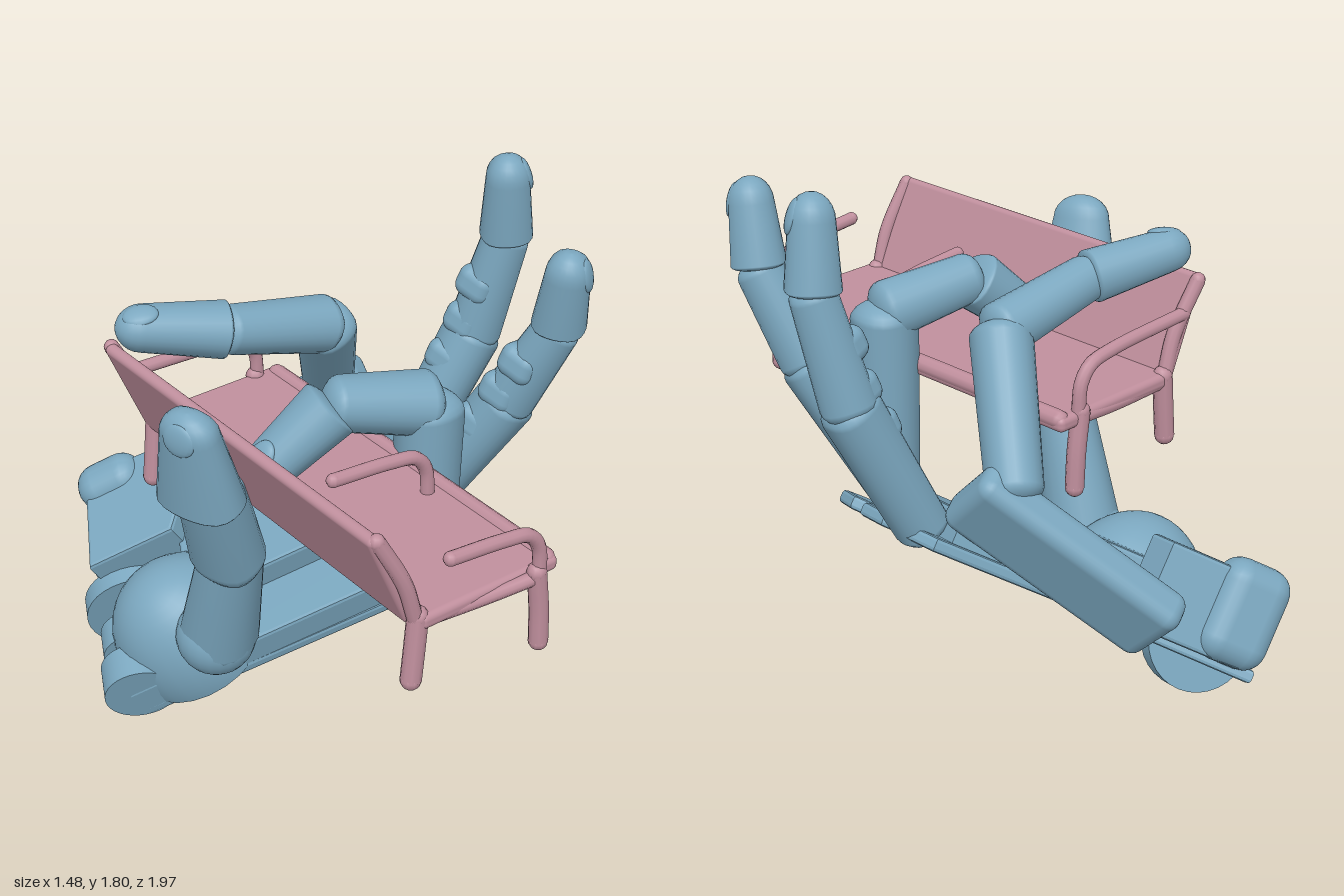
import * as THREE from 'three';
import { RoundedBoxGeometry } from 'three/addons/geometries/RoundedBoxGeometry.js';

const V = (x, y, z) => new THREE.Vector3(x, y, z);

export function createModel() {
  const model = new THREE.Group();
  const blue = new THREE.MeshStandardMaterial({ color: 0x7ba7bf });
  const pink = new THREE.MeshStandardMaterial({ color: 0xc08f9d });

  const add = (parent, name, geometry, material, pos = [0, 0, 0], rot = [0, 0, 0]) => {
    const m = new THREE.Mesh(geometry, material);
    m.name = name;
    m.position.set(...pos);
    m.rotation.set(...rot);
    parent.add(m);
    return m;
  };
  const rbox = (w, h, d, r) => new RoundedBoxGeometry(w, h, d, 3, r);

  // ---------- Palm, built in its own frame: x to fingers, y out of the palm, z to thumb side ----------
  const palm = new THREE.Group();
  palm.name = 'palm';
  const f = V(0.705, 0.480, 0.522).normalize();
  const n = V(-0.563, 0.826, 0).normalize();
  palm.applyMatrix4(new THREE.Matrix4().makeBasis(f, n, f.clone().cross(n).normalize()));
  palm.position.set(-0.563, 0.009, -0.27);
  model.add(palm);

  const plate = (pts, depth) => new THREE.ExtrudeGeometry(
    new THREE.Shape(pts.map((p) => new THREE.Vector2(...p))),
    { depth, bevelEnabled: true, bevelSize: 0.012, bevelThickness: 0.012, bevelSegments: 2 },
  ).rotateX(-Math.PI / 2);

  // Thin back plate, notched between the knuckles
  add(palm, 'backPlate', plate([
    [0, 0.01], [1.12, 0], [1.19, 0.04], [1.19, 0.17], [1.15, 0.2], [1.05, 0.21], [1.05, 0.24], [1.17, 0.25],
    [1.19, 0.3], [1.16, 0.43], [1.03, 0.45], [1.03, 0.48], [1.12, 0.49], [1.13, 0.55], [1.06, 0.67],
    [0.5, 0.6], [0.36, 0.68], [0, 0.78],
  ], 0.02), blue, [0, 0.012, 0]);

  // Body of the palm on top of the plate
  add(palm, 'palmBody', plate([
    [0, 0.01], [1.0, 0.01], [1.03, 0.15], [1.03, 0.4], [1.0, 0.64], [0.5, 0.59], [0.36, 0.67], [0, 0.74],
  ], 0.1), blue, [0, 0.03, 0]);

  // Raised palm pad and the block on the little finger side of the wrist
  add(palm, 'palmPad', plate([[0.3, 0.2], [0.76, 0.2], [0.84, 0.32], [0.8, 0.54], [0.5, 0.58], [0.3, 0.6]], 0.08),
    blue, [0, 0.14, 0]);
  add(palm, 'wristBlock', plate([[0, 0.44], [0.3, 0.44], [0.42, 0.68], [0.4, 0.78], [0.06, 0.8], [0.02, 0.7]], 0.26),
    blue, [0, 0.04, 0]);

  // Domed cover at the root of the thumb
  const cover = add(palm, 'thumbRootCover', new THREE.SphereGeometry(1, 28, 12, 0, Math.PI * 2, 0, Math.PI / 2),
    blue, [0.22, 0.03, -0.2]);
  cover.scale.set(0.27, 0.34, 0.25);

  // Round hinge lobes along the wrist: [forward, sideways, radius, height, length]
  [[0.02, 0.06, 0.12, 0.12, 0.12], [0.02, 0.22, 0.11, 0.11, 0.1], [0.03, 0.405, 0.18, 0.06, 0.07],
    [0.03, 0.58, 0.11, 0.11, 0.1]].forEach(([a, s, r, h, len], i) => {
    add(palm, `wristLobe${i + 1}`, new THREE.CylinderGeometry(r, r, len, 32), blue, [a, h, -s], [Math.PI / 2, 0, 0]);
  });
  add(palm, 'outerWristLobe', rbox(0.24, 0.33, 0.16, 0.075), blue, [0.1, 0.19, -0.77]);

  // Folded panel carrying the little finger
  add(palm, 'littleFingerPanel', rbox(0.74, 0.13, 0.28, 0.045), blue, [0.7, 0.13, -0.765], [0.6, 0, 0.26]);

  // ---------- Fingers: squared, round-ended lathe segments ----------
  const segmentGeometry = (L, r0, r1, k0, k1) => {
    const pts = [];
    for (let i = 0; i <= 6; i++) {
      const t = (i / 6) * Math.PI / 2;
      pts.push(new THREE.Vector2(r0 * Math.sin(t), k0 * r0 * (1 - Math.cos(t))));
    }
    for (let i = 0; i <= 6; i++) {
      const t = (i / 6) * Math.PI / 2;
      pts.push(new THREE.Vector2(r1 * Math.cos(t), L - k1 * r1 * (1 - Math.sin(t))));
    }
    const g = new THREE.LatheGeometry(pts, 24);
    const p = g.attributes.position;
    for (let i = 0; i < p.count; i++) {
      const x = p.getX(i), z = p.getZ(i), r = Math.hypot(x, z);
      if (r < 1e-6) continue;
      const k = ((x / r) ** 4 + (z / r) ** 4) ** -0.12;
      p.setX(i, x * k);
      p.setZ(i, z * k);
    }
    return g;
  };

  const segment = (parent, name, a, b, r0, r1, dorsal, { k0 = 0.6, k1 = 0.6, wide = 1, nail = false } = {}) => {
    const dir = b.clone().sub(a);
    const L = dir.length();
    dir.normalize();
    const g = new THREE.Group();
    g.name = name;
    const back = dorsal.clone().addScaledVector(dir, -dorsal.dot(dir)).normalize();
    g.applyMatrix4(new THREE.Matrix4().makeBasis(dir.clone().cross(back), dir, back));
    g.position.copy(a);
    parent.add(g);
    add(g, name + 'Shell', segmentGeometry(L, r0, r1, k0, k1), blue).scale.x = wide;
    if (nail) {
      const m = add(g, 'nail', new THREE.SphereGeometry(1, 16, 10), blue, [0, L - r1 * 1.0, r1 * 0.82], [-0.3, 0, 0]);
      m.scale.set(r1 * 0.6 * wide, r1 * 0.8, r1 * 0.25);
    }
  };

  // Joints run from knuckle to tip
  const fingers = [
    { name: 'indexFinger', r: 0.1, back: V(-0.3, 1, 0.3), firstBack: V(1, 0, 0),
      p: [V(0.125, 0.58, 0.27), V(0.13, 1.22, 0.28), V(-0.16, 1.28, 0.19), V(-0.41, 1.06, 0.11)] },
    { name: 'middleFinger', r: 0.09, back: V(0.6, 0, 0.8), firstBack: V(1, -0.4, 0), bumps: true,
      p: [V(0.25, 0.66, 0.05), V(0.43, 1.14, 0.3), V(0.5, 1.42, 0.43), V(0.48, 1.7, 0.49)] },
    { name: 'ringFinger', r: 0.09, back: V(0.8, 0, 0.5), firstBack: V(1, -0.4, 0), bumps: true,
      p: [V(0.37, 0.68, -0.16), V(0.6, 1.16, -0.07), V(0.66, 1.5, 0), V(0.63, 1.8, 0.03)] },
    { name: 'littleFinger', r: 0.09, back: V(0, 1, 0.4), firstBack: V(1, 0.4, 0),
      p: [V(0.31, 0.88, -0.47), V(0.1, 1.29, -0.2), V(-0.24, 1.37, -0.23), V(-0.57, 1.43, -0.36)] },
  ];
  for (const { name, r, back, firstBack, p, bumps } of fingers) {
    const g = new THREE.Group();
    g.name = name;
    model.add(g);
    segment(g, 'lowerSegment', p[0], p[1].clone().lerp(p[0], -0.06), r * 0.9, r, firstBack);
    segment(g, 'middleSegment', p[1].clone().lerp(p[2], -0.12), p[2].clone().lerp(p[1], -0.12), r * 0.95, r * 0.8, back);
    segment(g, 'fingertip', p[2], p[3], r * 0.93, r * 0.76, back, { k0: 0.25, k1: 1.2, nail: true });
    // Soft pads on the inner side of the straight fingers
    if (bumps) {
      [0.8, 1.1, 1.5].forEach((t) => {
        const c = t < 1 ? p[0].clone().lerp(p[1], t) : p[1].clone().lerp(p[2], t - 1);
        c.add(V(-0.04, 0.01, -0.01));
        add(g, 'innerPad', rbox(0.11, 0.11, 0.13, 0.04), blue, c.toArray(), [0.3, 0.2, -0.3]);
      });
    }
  }

  // ---------- Thumb ----------
  const thumb = new THREE.Group();
  thumb.name = 'thumb';
  model.add(thumb);
  const tBack = V(-0.8, 0.1, 0.3);
  add(thumb, 'thumbBall', new THREE.SphereGeometry(0.13, 24, 16), blue, [-0.42, 0.37, -0.1]);
  segment(thumb, 'lowerSegment', V(-0.41, 0.32, -0.11), V(-0.445, 0.86, 0.06), 0.12, 0.095, tBack, { k1: 1 });
  segment(thumb, 'middleSegment', V(-0.435, 0.7, 0.03), V(-0.59, 1.17, 0.14), 0.1, 0.088, tBack, { k0: 1, wide: 1.15 });
  segment(thumb, 'thumbTip', V(-0.6, 1.07, 0.13), V(-0.675, 1.43, 0.18), 0.096, 0.064, tBack,
    { k0: 0.3, k1: 1.2, wide: 1.45, nail: true });

  // ---------- Bench ----------
  const bench = new THREE.Group();
  bench.name = 'bench';
  model.add(bench);
  add(bench, 'seat', rbox(0.5, 0.05, 1.37, 0.02), pink, [-0.18, 1.03, 0.26]);
  add(bench, 'frontRail', new THREE.CapsuleGeometry(0.03, 1.3, 4, 10), pink, [0.045, 1.04, 0.26], [Math.PI / 2, 0, 0]);
  add(bench, 'backrest', rbox(0.04, 0.36, 1.32, 0.018), pink, [-0.495, 1.18, 0.24], [0, 0, 0.4]);

  const tube = (name, pts, r) => {
    const curve = new THREE.CatmullRomCurve3(pts.map((p) => V(...p)));
    add(bench, name, new THREE.TubeGeometry(curve, 24, r, 10), pink);
    for (const p of [pts[0], pts[pts.length - 1]]) {
      add(bench, name + 'End', new THREE.SphereGeometry(r, 10, 8), pink, p);
    }
  };
  const armrest = (z, endX) => tube('armrest',
    [[-0.02, 1.04, z], [-0.03, 1.14, z], [-0.07, 1.19, z], [-0.16, 1.21, z], [endX, 1.23, z]], 0.022);

  // End frames: front leg, rear leg, arm and backrest upright
  for (const [front, rear, armEnd] of [[0.96, 0.91, -0.35], [-0.41, -0.4, -0.5]]) {
    tube('frontLeg', [[-0.01, 0.8, front], [-0.015, 0.92, front], [-0.03, 1.05, front]], 0.03);
    tube('rearLeg', [[-0.44, 0.83, rear], [-0.43, 0.93, rear], [-0.42, 1.04, rear]], 0.032);
    tube('crossRail', [[-0.42, 1.02, rear], [-0.2, 1.02, (front + rear) / 2], [-0.02, 1.03, front]], 0.022);
    tube('backUpright', [[-0.43, 1.04, rear], [-0.47, 1.17, rear], [-0.55, 1.33, rear - 0.02]], 0.024);
    armrest(front, armEnd);
  }
  armrest(0.46, -0.37);

  return model;
}
